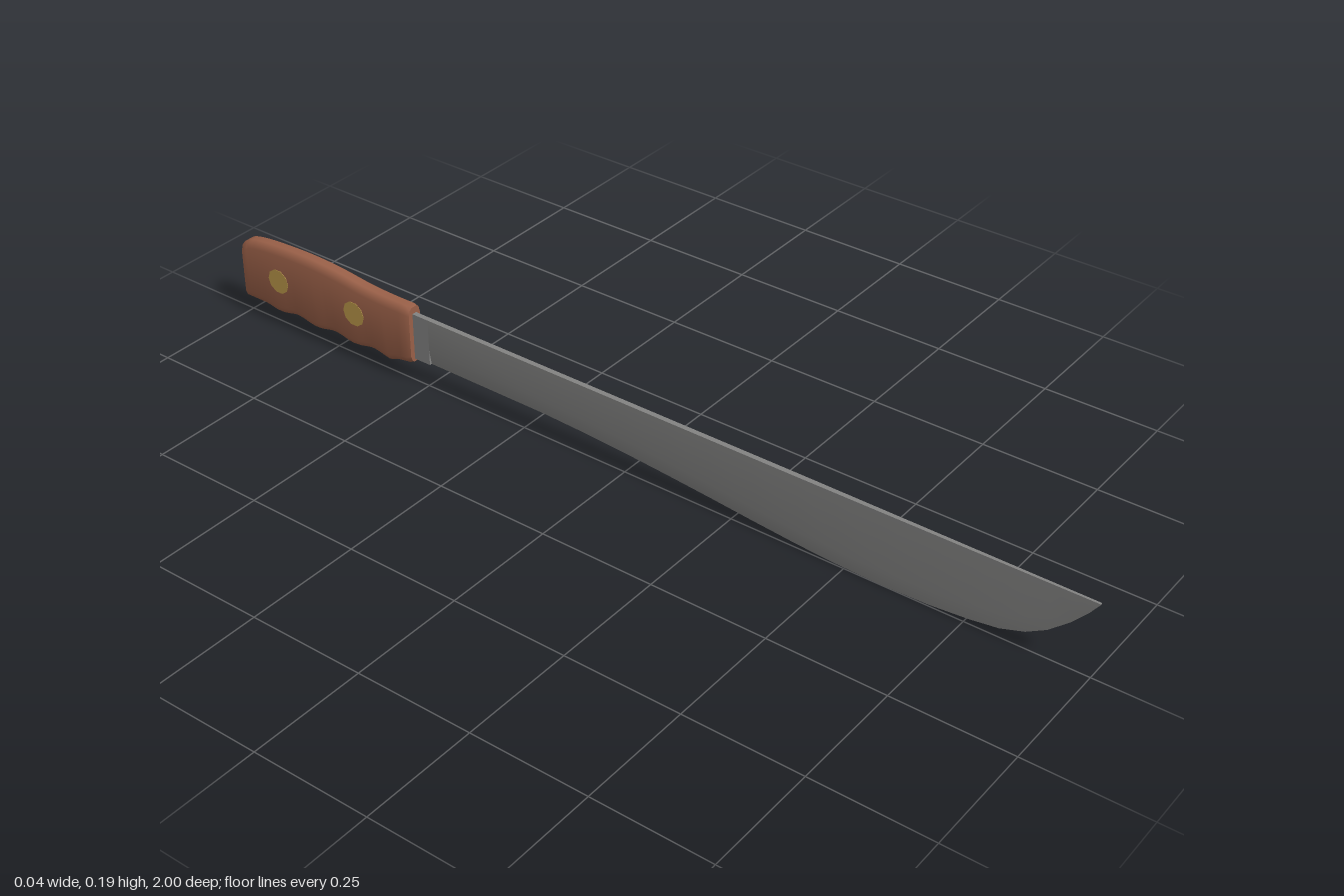
import * as THREE from 'three';
import { toCreasedNormals } from 'three/addons/utils/BufferGeometryUtils.js';

const paint = (name, color) => {
  const m = new THREE.MeshStandardMaterial({ color });
  m.name = name;
  return m;
};

// Skin a run of cross-sections, each counter-clockwise seen from +z, going towards -z
function loft(sections, crease) {
  const n = sections[0].points.length, pos = [], index = [];
  sections.forEach(({ z, points }) => points.forEach(([x, y]) => pos.push(x, y, z)));
  for (let i = 0; i < sections.length - 1; i++) {
    for (let j = 0; j < n; j++) {
      const a = i * n + j, b = i * n + (j + 1) % n, d = a + n, c = b + n;
      index.push(a, d, b, b, d, c);
    }
  }
  const last = (sections.length - 1) * n;
  for (let j = 1; j < n - 1; j++) {
    index.push(0, j, j + 1, last, last + j + 1, last + j);
  }
  const g = new THREE.BufferGeometry();
  g.setAttribute('position', new THREE.Float32BufferAttribute(pos, 3));
  g.setIndex(index);
  return toCreasedNormals(g, crease);
}

// Blade section: flat cheeks with a bevel down to the cutting edge
function bladeSection([z, bottom]) {
  const top = 0.161, h = top - bottom;
  const w = 0.0055 * Math.min(1, 0.45 + (1 - z) * 0.9);
  const bevel = bottom + Math.min(0.035, h * 0.4);
  return { z, points: [[0, bottom], [w, bevel], [w, top], [-w, top], [-w, bevel]] };
}

// Handle section: slab with rounded top and bottom
function handleSection([z, bottom, top, w]) {
  const half = [
    [0.45 * w, bottom], [0.8 * w, bottom + 0.005], [w, bottom + 0.016],
    [w, top - 0.017], [0.8 * w, top - 0.005], [0.45 * w, top],
  ];
  const mirrored = half.map(([x, y]) => [-x, y]).reverse();
  return { z, points: [...half, ...mirrored] };
}

export function createModel() {
  const steel = paint('steel', 0x838382);
  const wood = paint('wood', 0x9a6048);
  const brass = paint('brass', 0xba974a);
  const model = new THREE.Group();
  model.name = 'machete';
  const add = (name, geometry, material) => {
    const mesh = new THREE.Mesh(geometry, material);
    mesh.name = name;
    model.add(mesh);
    return mesh;
  };

  // Blade: [z, height of cutting edge]
  const edge = [
    [1, 0.158], [0.98, 0.13], [0.95, 0.096], [0.91, 0.06], [0.87, 0.036], [0.82, 0.019],
    [0.76, 0.01], [0.68, 0.003], [0.58, 0], [0.48, 0.003], [0.4, 0.008], [0.3, 0.017],
    [0.2, 0.027], [0.1, 0.036], [0, 0.044], [-0.1, 0.05], [-0.2, 0.054], [-0.49, 0.056],
  ];
  add('blade', loft(edge.map(bladeSection), 0.5), steel);

  // Unsharpened neck where the blade enters the handle
  const neck = new THREE.BoxGeometry(0.011, 0.105, 0.08);
  neck.translate(0, 0.1085, -0.53);
  add('bladeNeck', neck, steel);

  // Handle: top line as a curve, bottom line with finger grooves
  const topLine = new THREE.SplineCurve([
    [-0.53, 0.178], [-0.6, 0.178], [-0.66, 0.181], [-0.73, 0.189], [-0.8, 0.193],
    [-0.87, 0.192], [-0.94, 0.187], [-0.98, 0.179], [-1, 0.166],
  ].map(([z, y]) => new THREE.Vector2(z, y)));
  const steps = 36, sections = [];
  for (let i = 0; i <= steps; i++) {
    const { x: z, y: top } = topLine.getPoint(i / steps);
    let bottom = 0.0365 - 0.0045 * Math.cos((z + 0.69) * Math.PI * 2 / 0.106);
    if (z > -0.585) bottom = THREE.MathUtils.mapLinear(z, -0.585, -0.53, 0.038, 0.047);
    if (z < -0.93) bottom = 0.038;
    const end = i === 0 || i === steps;
    sections.push([z, bottom + (end ? 0.003 : 0), top - (end ? 0.002 : 0), end ? 0.0165 : 0.0187]);
  }
  add('handle', loft(sections.map(handleSection), 0.7), wood);

  // Rivets through the handle, just proud of both cheeks
  for (const z of [-0.682, -0.895]) {
    const rivet = add('rivet', new THREE.CylinderGeometry(0.028, 0.028, 0.039, 10), brass);
    rivet.rotation.z = Math.PI / 2;
    rivet.position.set(0, 0.112, z);
  }
  return model;
}
